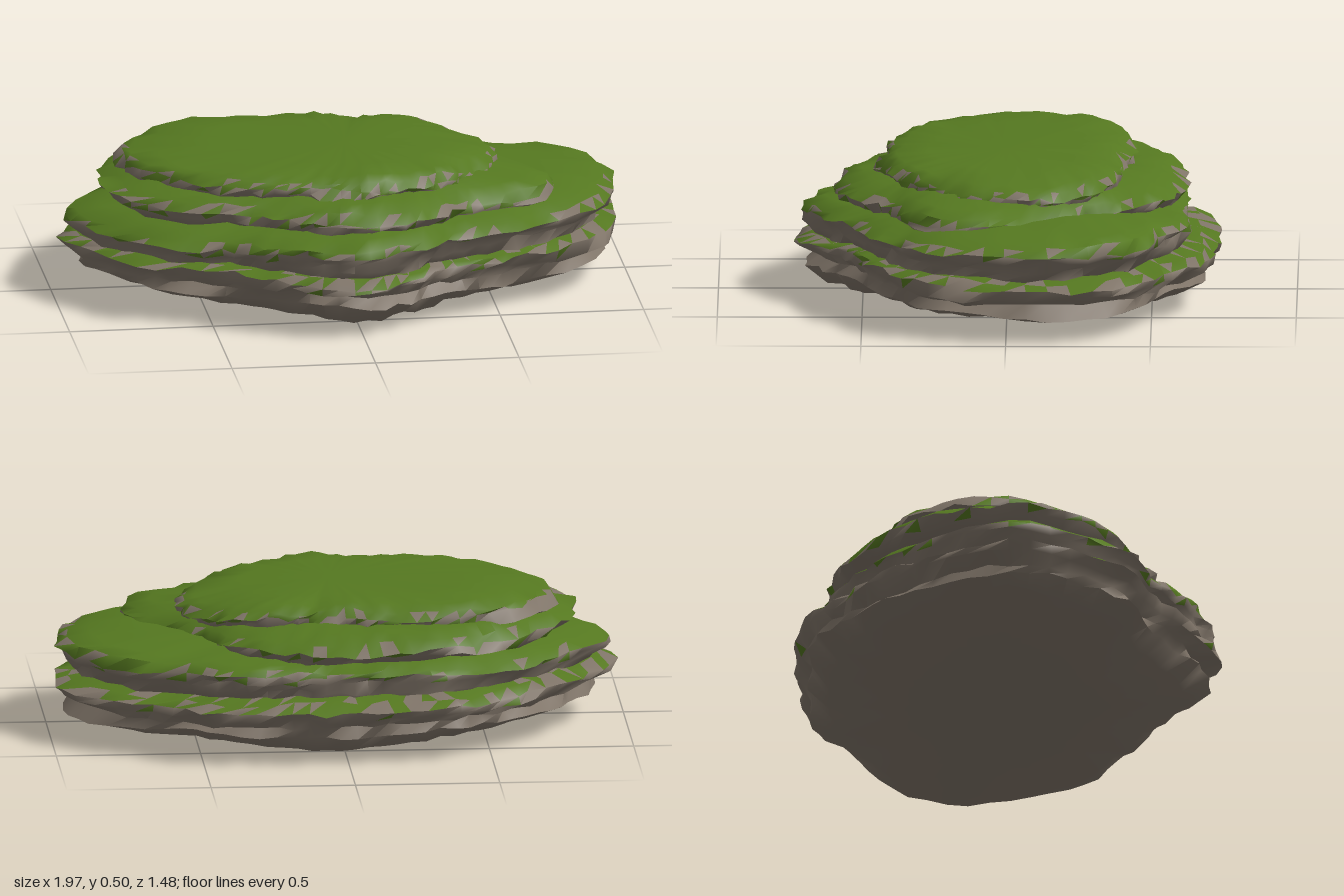
import * as THREE from 'three';
import { toCreasedNormals } from 'three/addons/utils/BufferGeometryUtils.js';

const SIDES = 80;

// Outline radii every 15 degrees, starting at +x and turning towards +z
const OUTER = [.95, .89, .77, .69, .64, .66, .73, .71, .70, .71, .84, .92,
  .99, .91, .86, .82, .80, .75, .74, .75, .82, .83, .93, .99];
const UPPER = [.69, .75, .67, .58, .57, .59, .60, .60, .60, .63, .75, .84,
  .86, .85, .80, .74, .70, .65, .62, .61, .60, .57, .55, .59];
const PLATEAU = [.54, .52, .47, .46, .45, .44, .45, .45, .47, .53, .62, .71,
  .77, .78, .73, .61, .51, .44, .41, .42, .46, .50, .52, .54];
// The lower terrace follows the base but steps in along the back
const LOWER = OUTER.map((r, i) => r - .09 * Math.max(0, -Math.sin(i * Math.PI / 12)));

function seeded(seed) {
  return () => {
    seed = (seed * 1664525 + 1013904223) >>> 0;
    return seed / 4294967296;
  };
}

// Smooth radius of an outline at a fraction of a full turn
function radiusAt(outline, turn) {
  const n = outline.length, f = turn * n, i = Math.floor(f), t = f - i;
  const at = (k) => outline[(k + n) % n];
  const [a, b, c, d] = [at(i - 1), at(i), at(i + 1), at(i + 2)];
  return b + .5 * t * (c - a + t * (2 * a - 5 * b + 4 * c - d + t * (3 * (b - c) + d - a)));
}

// Stack of rough rings, split into rock and grass faces.
// Each ring: [radius scale, height, chance that the band above it is grass].
// slope(x, ring) is added to the height.
function makeLayer(name, seed, outline, slope, rings, materials) {
  const random = seeded(seed);
  const positions = [], rock = [], grass = [];
  rings.forEach(([scale, y], j) => {
    // Rough at the rim, calm towards the middle
    const rough = THREE.MathUtils.clamp(2 * scale - 1, 0, 1);
    // Broad bulges, each spanning several sides
    const bulges = Array.from({ length: 20 }, () => random() - .5);
    for (let i = 0; i < SIDES; i++) {
      const turn = i / SIDES, angle = turn * Math.PI * 2;
      const r = radiusAt(outline, turn) * scale
        + rough * (radiusAt(bulges, turn) * .035 + (random() - .5) * .028 - .008);
      const x = r * Math.cos(angle), z = r * Math.sin(angle);
      const lift = rough * (radiusAt(bulges, (turn + .37) % 1) * .022 + (random() - .5) * .016);
      positions.push(x, Math.max(0, y + lift + slope(x, j)), z);
    }
  });
  for (let j = 0; j < rings.length - 1; j++) {
    // Single triangles change colour, which leaves a ragged grass edge
    const pick = () => (random() < rings[j][2] ? grass : rock);
    for (let i = 0; i < SIDES; i++) {
      const a = j * SIDES + i, b = j * SIDES + (i + 1) % SIDES;
      const c = a + SIDES, d = b + SIDES;
      pick().push(a, c, b);
      pick().push(b, c, d);
    }
  }
  // Close both ends
  const last = (rings.length - 1) * SIDES;
  for (let i = 1; i < SIDES - 1; i++) {
    rock.push(0, i, i + 1);
    grass.push(last, last + i + 1, last + i);
  }
  const geometry = new THREE.BufferGeometry();
  geometry.setAttribute('position', new THREE.Float32BufferAttribute(positions, 3));
  geometry.setIndex([...rock, ...grass]);
  geometry.addGroup(0, rock.length, 0);
  geometry.addGroup(rock.length, grass.length, 1);
  const mesh = new THREE.Mesh(toCreasedNormals(geometry, 1.2), materials);
  mesh.name = name;
  return mesh;
}

export function createModel() {
  const rock = new THREE.MeshStandardMaterial({ color: 0x7f7468 });
  rock.name = 'rock';
  const grass = new THREE.MeshStandardMaterial({ color: 0x557820 });
  grass.name = 'grass';
  const materials = [rock, grass];

  const island = new THREE.Group();
  island.name = 'terracedRock';

  // Base, with an underside that rises towards both ends
  const keel = (x, ring) => (ring < 3 ? .045 * Math.abs(x) : 0) - .01 * x;
  island.add(makeLayer('baseRock', 17, OUTER, keel, [
    [.03, .0, 0], [.45, .012, 0], [.85, .035, 0], [.95, .095, 0], [.93, .13, 0],
    [.99, .16, .04], [1, .187, .55], [.94, .207, .8], [.8, .225, 1],
  ], materials));

  island.add(makeLayer('lowerTerrace', 118, LOWER, (x) => .018 * x, [
    [.75, .18, 0], [.93, .2, 0], [.95, .235, 0], [.98, .265, .1], [1, .288, .75],
    [.96, .307, 1], [.87, .327, 1], [.7, .35, 1], [.02, .36, 1],
  ], materials));

  island.add(makeLayer('upperTerrace', 219, UPPER, (x) => -.015 * x, [
    [.72, .31, 0], [.93, .325, 0], [.98, .347, .25], [1, .37, .8],
    [.94, .395, 1], [.84, .417, 1], [.68, .43, 1],
  ], materials));

  // Plateau, drooping at its +x end
  const droop = (x) => -.01 * x - .1 * Math.max(0, x - .25);
  island.add(makeLayer('plateau', 320, PLATEAU, droop, [
    [.8, .375, 0], [.97, .4, 0], [1.01, .425, .35], [1, .448, .8],
    [.96, .469, 1], [.87, .484, 1], [.6, .494, 1], [.02, .5, 1],
  ], materials));

  // Centre on the ground
  const box = new THREE.Box3().setFromObject(island);
  const centre = box.getCenter(new THREE.Vector3());
  island.position.set(-centre.x, -box.min.y, -centre.z);
  const model = new THREE.Group();
  model.add(island);
  return model;
}
